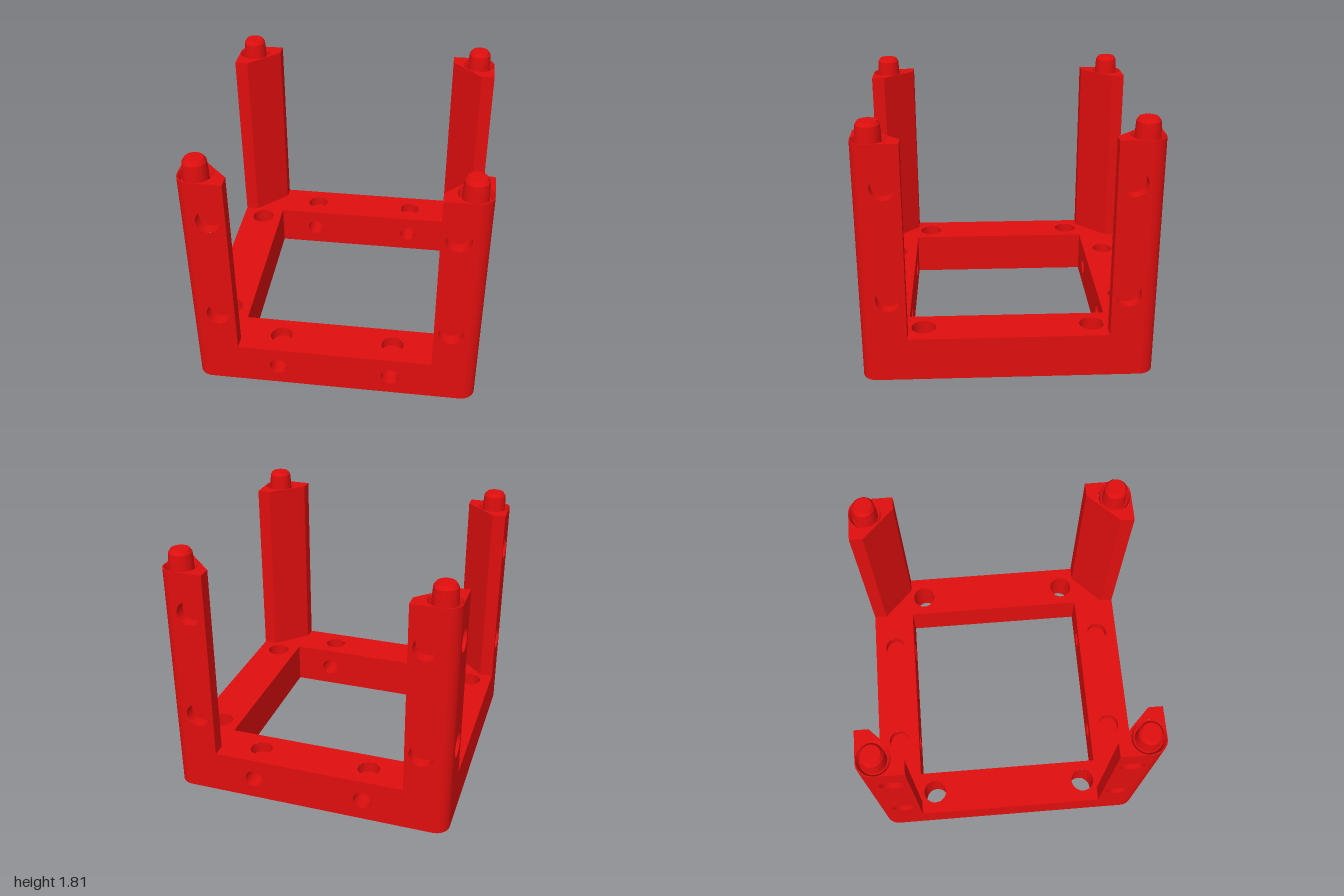
import * as THREE from 'three';

const BAR = 0.31, TOP = 1.69, IN = 0.685, R = 0.1, FLAT = 1 - R;
const PEG = 0.882, RECESS = 0.115, DEPTH = 0.08;
const SEG = 32;

const red = new THREE.MeshStandardMaterial({ color: 0xe00e0e });
const redInside = new THREE.MeshStandardMaterial({ color: 0xe00e0e, side: THREE.DoubleSide });

function add(parent, name, geometry, material = red) {
  const mesh = new THREE.Mesh(geometry, material);
  mesh.name = name;
  parent.add(mesh);
  return mesh;
}

// Flat face with round holes given as [x, y, radius]
function panel(shape, holes = []) {
  for (const [x, y, r] of holes) {
    shape.holes.push(new THREE.Path().absarc(x, y, r, 0, Math.PI * 2, true));
  }
  return new THREE.ShapeGeometry(shape, SEG);
}

const polygon = (pts) => new THREE.Shape(pts.map(([x, y]) => new THREE.Vector2(x, y)));

// Hole lining sunk from z = 0 to z = -depth, with an optional floor
function bore(parent, name, r, depth, floor) {
  const group = new THREE.Group();
  group.name = name;
  const wall = new THREE.CylinderGeometry(r, r, depth, SEG, 1, true);
  wall.rotateX(Math.PI / 2).translate(0, 0, -depth / 2);
  add(group, 'holeWall', wall, redInside);
  if (floor) add(group, 'holeFloor', new THREE.CircleGeometry(r, SEG).translate(0, 0, -depth));
  parent.add(group);
  return group;
}

function roundedSquare() {
  const s = new THREE.Shape();
  s.absarc(FLAT, FLAT, R, 0, Math.PI / 2);
  s.absarc(-FLAT, FLAT, R, Math.PI / 2, Math.PI);
  s.absarc(-FLAT, -FLAT, R, Math.PI, Math.PI * 1.5);
  s.absarc(FLAT, -FLAT, R, Math.PI * 1.5, Math.PI * 2);
  s.closePath();
  s.holes.push(new THREE.Path().setFromPoints(
    [[-IN, -IN], [-IN, IN], [IN, IN], [IN, -IN]].map(([x, y]) => new THREE.Vector2(x, y))));
  return s;
}

// Top and bottom of the square base with its vertical holes
function createBase() {
  const base = new THREE.Group();
  base.name = 'baseFrame';
  const through = [], blind = [];
  for (const sx of [-1, 1]) for (const sz of [-1, 1]) {
    through.push([sx * 0.835, sz * 0.58, 0.085]);
    blind.push([sx * 0.4, sz * 0.84, 0.078]);
  }
  add(base, 'baseTop', panel(roundedSquare(), [...through, ...blind]).rotateX(-Math.PI / 2).translate(0, BAR, 0));
  add(base, 'baseBottom', panel(roundedSquare(), through).rotateX(Math.PI / 2));
  const sink = (name, holes, depth, floor) => holes.forEach(([x, z, r]) => {
    const hole = bore(base, name, r, depth, floor);
    hole.rotation.x = -Math.PI / 2;
    hole.position.set(x, BAR, z);
  });
  sink('throughHole', through, BAR, false);
  sink('topPocket', blind, DEPTH, true);
  return base;
}

// One U-shaped outer face and the inner face of its bar, facing +z
function createSide(hasBarHoles) {
  const side = new THREE.Group();
  side.name = 'side';
  const pockets = [], barHoles = [];
  for (const sx of [-1, 1]) {
    for (const y of [0.61, 1.4]) pockets.push([sx * 0.8, y, 0.085]);
    if (hasBarHoles) barHoles.push([sx * 0.4, 0.155, 0.063]);
  }
  const outer = polygon([[-FLAT, 0], [FLAT, 0], [FLAT, TOP], [IN, TOP], [IN, BAR],
    [-IN, BAR], [-IN, TOP], [-FLAT, TOP]]);
  add(side, 'outerFace', panel(outer, [...pockets, ...barHoles]).translate(0, 0, 1));
  const inner = polygon([[-IN, 0], [IN, 0], [IN, BAR], [-IN, BAR]]);
  add(side, 'innerFace', panel(inner, barHoles).rotateY(Math.PI).translate(0, 0, IN));
  for (const [x, y, r] of pockets) bore(side, 'postPocket', r, DEPTH, true).position.set(x, y, 1);
  for (const [x, y, r] of barHoles) bore(side, 'barHole', r, 1 - IN, false).position.set(x, y, 1);
  return side;
}

// Corner post at +x +z: rounded edge, chamfered inside, recess and peg
function createPost() {
  const post = new THREE.Group();
  post.name = 'cornerPost';
  const edge = new THREE.CylinderGeometry(R, R, TOP, 12, 1, true, 0, Math.PI / 2);
  add(post, 'roundedEdge', edge.translate(FLAT, TOP / 2, FLAT));

  const section = [[IN, 1], [IN, 0.905], [0.905, IN], [1, IN]];
  for (let i = 0; i < 3; i++) {
    const [x0, z0] = section[i], [x1, z1] = section[i + 1];
    const face = new THREE.PlaneGeometry(Math.hypot(x1 - x0, z1 - z0), TOP - BAR);
    face.rotateY(Math.atan2(-(1 - (x0 + x1) / 2) * (i !== 2) , -(i !== 0)));
    // Outward directions: -x, diagonal, -z
    const angle = [-Math.PI / 2, -Math.PI * 0.75, Math.PI][i];
    const plane = new THREE.PlaneGeometry(Math.hypot(x1 - x0, z1 - z0), TOP - BAR).rotateY(angle);
    face.dispose();
    add(post, 'postInnerFace', plane.translate((x0 + x1) / 2, (TOP + BAR) / 2, (z0 + z1) / 2));
  }

  const top = polygon(section.map(([x, z]) => [x, -z]));
  const outline = new THREE.Shape();
  outline.moveTo(IN, -1);
  section.slice(1).forEach(([x, z]) => outline.lineTo(x, -z));
  outline.lineTo(1, -FLAT);
  outline.absarc(FLAT, -FLAT, R, 0, -Math.PI / 2, true);
  outline.closePath();
  top.copy(outline);
  add(post, 'postTop', panel(top, [[PEG, -PEG, RECESS]]).rotateX(-Math.PI / 2).translate(0, TOP, 0));

  const profile = (pts) => new THREE.LatheGeometry(pts.map(([r, y]) => new THREE.Vector2(r, y)), SEG);
  const flat = (g) => { const f = g.toNonIndexed(); f.computeVertexNormals(); return f; };
  const y0 = TOP - 0.04;
  const recess = flat(profile([[0.08, y0], [0.095, y0], [RECESS, TOP]]));
  add(post, 'pegRecess', recess.translate(PEG, 0, PEG), redInside);
  const peg = flat(profile([[0.086, y0], [0.083, TOP + 0.04], [0.079, 1.785], [0.062, 1.81], [0, 1.81]]));
  add(post, 'peg', peg.translate(PEG, 0, PEG), redInside);
  return post;
}

export function createModel() {
  const model = new THREE.Group();
  model.name = 'stackingFrame';
  model.add(createBase());
  for (let i = 0; i < 4; i++) {
    for (const part of [createSide(i % 2 === 0), createPost()]) {
      part.rotation.y = i * Math.PI / 2;
      model.add(part);
    }
  }
  return model;
}
